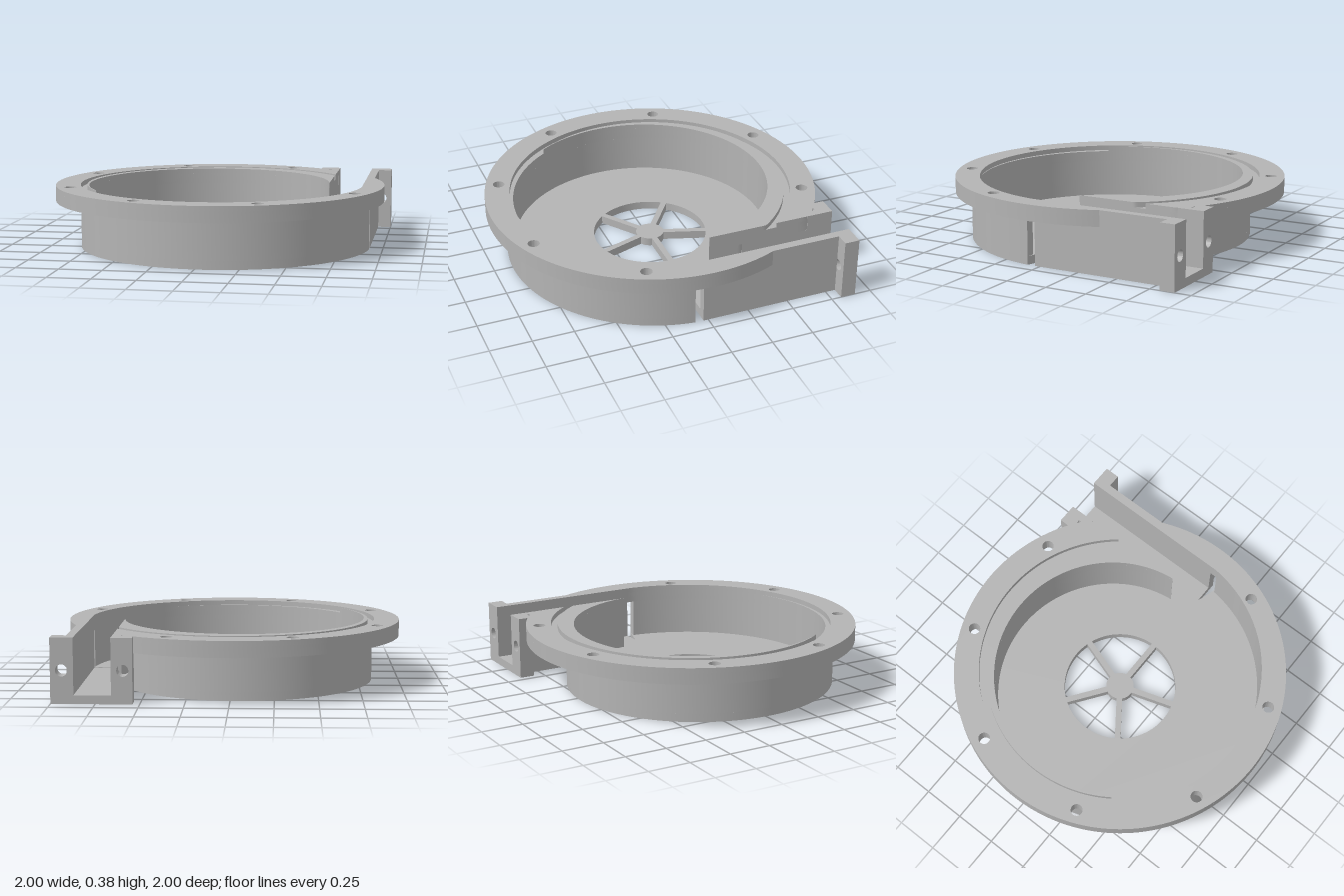
import * as THREE from 'three';
import { toCreasedNormals } from 'three/addons/utils/BufferGeometryUtils.js';

const RAD = Math.PI / 180;
const H = 0.375, FLANGE_Y = 0.28, GROOVE_Y = 0.345, FLOOR = 0.05, WALL = 0.05;
const DUCT_L = 0.66, DUCT_R = 0.87, DUCT_END = -0.9, PLATE_Z = -0.81;
const START = 9, END = 355;

// scroll radius by angle in degrees, measured from +x towards -z
const scroll = (a) => { const t = a / 90; return 0.66 + 0.0755 * t - 0.0055 * t * t; };
// past the end of the scroll the opening follows the duct's outer side
const opening = (a) => (a > END ? DUCT_R / Math.cos(a * RAD) : scroll(a));
// keep a radius from crossing into the duct
const clip = (r, a) => (a < 85 ? Math.min(r, DUCT_L / Math.cos(a * RAD)) : r);
const polar = (r, a) => new THREE.Vector2(r * Math.cos(a * RAD), r * Math.sin(a * RAD));

function sweep(fn, a0, a1, n = 240) {
  const pts = [];
  for (let i = 0; i <= n; i++) {
    const a = a0 + ((a1 - a0) * i) / n;
    pts.push(polar(fn(a), a));
  }
  return pts;
}

const ring = (inner, outer, a0, a1) =>
  new THREE.Shape([...sweep(outer, a0, a1), ...sweep(inner, a0, a1).reverse()]);

function circlePath(x, y, r) {
  const p = new THREE.Path();
  p.absarc(x, y, r, 0, Math.PI * 2, true);
  return p;
}

export function createModel() {
  const group = new THREE.Group();
  const grey = new THREE.MeshStandardMaterial({ color: 0xb4b4b4 });
  grey.name = 'greyPlastic';

  function add(name, geo) {
    const mesh = new THREE.Mesh(geo, grey);
    mesh.name = name;
    group.add(mesh);
    return mesh;
  }
  // plan shape raised between two heights
  function slab(name, shape, y0, y1) {
    const geo = new THREE.ExtrudeGeometry(shape, { depth: y1 - y0, bevelEnabled: false, curveSegments: 24 });
    geo.rotateX(-Math.PI / 2);
    geo.translate(0, y0, 0);
    return add(name, toCreasedNormals(geo, 0.5));
  }
  function box(name, x0, x1, y0, y1, z0, z1) {
    const geo = new THREE.BoxGeometry(x1 - x0, y1 - y0, z1 - z0);
    geo.translate((x0 + x1) / 2, (y0 + y1) / 2, (z0 + z1) / 2);
    return add(name, geo);
  }
  function addBolts(shape) {
    for (let k = 1; k < 8; k++) {
      const p = polar(0.92, 22.5 + 45 * k);
      shape.holes.push(circlePath(p.x, p.y, 0.035));
    }
    return shape;
  }

  // floor with a spoked inlet
  const outerWall = (a) => clip(scroll(a) + WALL, a);
  const floor = new THREE.Shape([
    ...sweep(outerWall, START, END),
    new THREE.Vector2(0.76, -0.03),
    new THREE.Vector2(DUCT_L, -0.03),
  ]);
  const spokeHalf = 0.0175, hubR = 0.085, inletR = 0.345;
  for (let k = 0; k < 5; k++) {
    const gap = (r) => Math.asin(spokeHalf / r) / RAD;
    const a0 = 72 * k, a1 = a0 + 72;
    floor.holes.push(new THREE.Path([
      ...sweep(() => inletR, a0 + gap(inletR), a1 - gap(inletR), 20),
      ...sweep(() => hubR, a0 + gap(hubR), a1 - gap(hubR), 8).reverse(),
    ]));
  }
  slab('floor', floor, 0, FLOOR);

  // spiral wall
  slab('scrollWall', ring(scroll, outerWall, START + 0.5, END), FLOOR, FLANGE_Y);

  // flange, with a seal groove left between the two upper layers
  const flangeEnd = 360 + Math.acos(DUCT_R) / RAD - 0.05;
  slab('flange', addBolts(ring(opening, (a) => clip(1, a), START + 0.5, flangeEnd)), FLANGE_Y, GROOVE_Y);
  const grooveStart = Math.acos(DUCT_L / 0.85) / RAD + 0.1;
  slab('flangeRim', addBolts(ring((a) => Math.max(0.85, opening(a)), (a) => clip(1, a), grooveStart, flangeEnd)),
    GROOVE_Y, H);
  let lipEnd = 180;
  while (scroll(lipEnd) < 0.809) lipEnd += 0.5;
  slab('innerLip', ring(scroll, (a) => clip(0.81, a), START + 0.5, lipEnd - 0.5), GROOVE_Y, H);

  // outlet duct
  box('ductFloor', DUCT_L, DUCT_R + WALL, 0, FLOOR, PLATE_Z, 0.03);
  box('ductOuterWall', DUCT_R, DUCT_R + WALL, FLOOR, H, PLATE_Z, 0.03);
  box('ductInnerWall', DUCT_L - WALL, DUCT_L, 0, FLANGE_Y, PLATE_Z, -0.32);
  box('ductInnerWallTop', DUCT_L - WALL, DUCT_L, FLANGE_Y, H, PLATE_Z, -0.74);

  // U-shaped mounting plate at the outlet
  const plate = new THREE.Shape([
    [0.54, 0], [1, 0], [1, H], [DUCT_R, H], [DUCT_R, FLOOR], [DUCT_L, FLOOR], [DUCT_L, H], [0.54, H],
  ].map(([x, y]) => new THREE.Vector2(x, y)));
  for (const x of [0.595, 0.937]) plate.holes.push(circlePath(x, 0.19, 0.034));
  const plateGeo = new THREE.ExtrudeGeometry(plate, { depth: PLATE_Z - DUCT_END, bevelEnabled: false, curveSegments: 24 });
  plateGeo.translate(0, 0, DUCT_END);
  add('outletPlate', toCreasedNormals(plateGeo, 0.5));

  return group;
}
